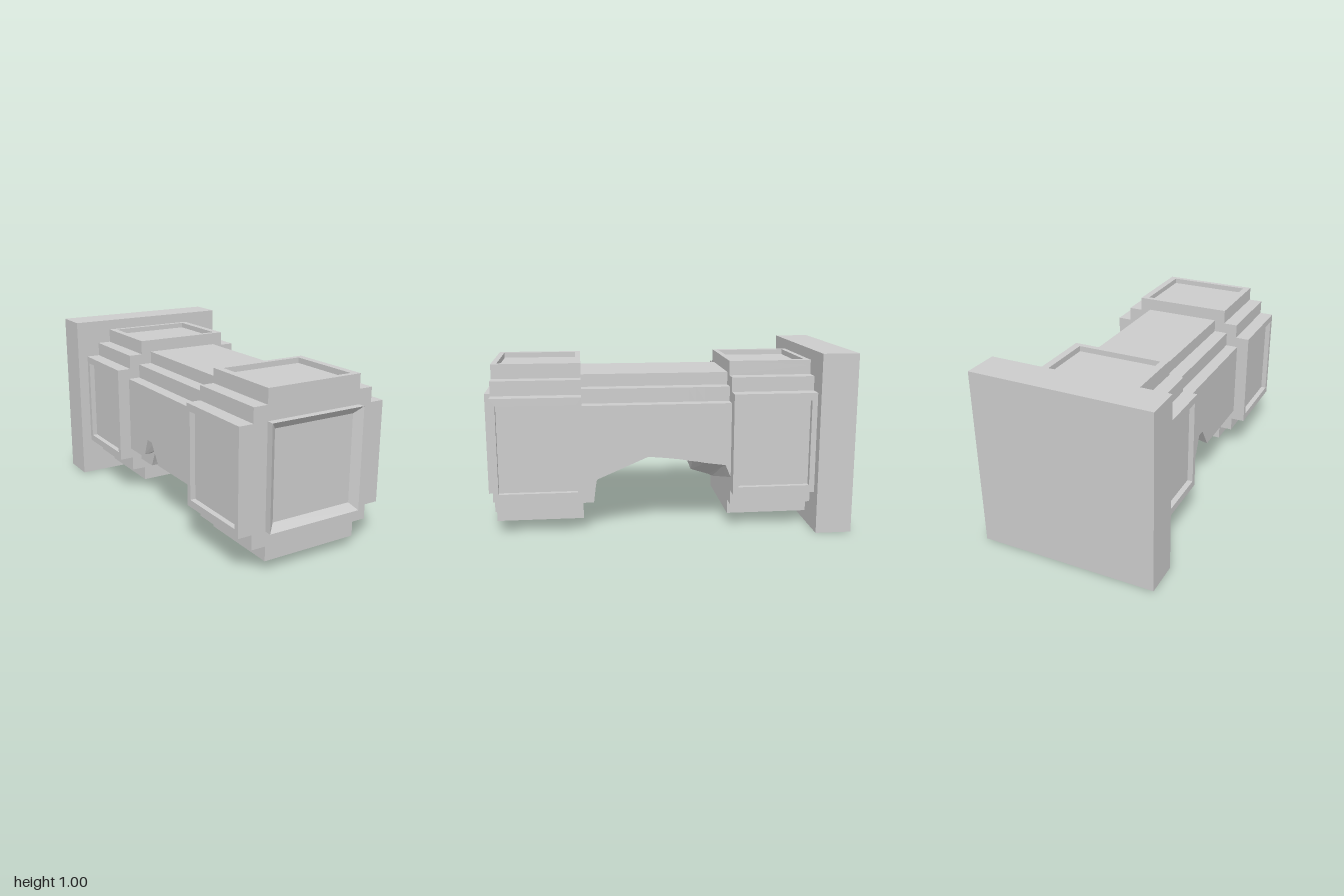
import * as THREE from 'three';

const material = new THREE.MeshStandardMaterial({ color: 0xcccccc, flatShading: true });

function add(parent, name, geometry, x = 0, y = 0, z = 0) {
  const mesh = new THREE.Mesh(geometry, material);
  mesh.name = name;
  mesh.position.set(x, y, z);
  parent.add(mesh);
  return mesh;
}

// Square with two stepped notches at each corner, counter-clockwise
function steppedProfile(a, b, c, tip = c) {
  const quarter = [[tip, -a], [tip, a], [b, a], [b, b], [a, b]];
  const points = [];
  for (let k = 0; k < 4; k++) {
    const cos = [1, 0, -1, 0][k], sin = [0, 1, 0, -1][k];
    for (const [x, y] of quarter) points.push(new THREE.Vector2(x * cos - y * sin, x * sin + y * cos));
  }
  return points;
}

function extrude(shape, depth) {
  return new THREE.ExtrudeGeometry(shape, { depth, bevelEnabled: false });
}

function rectangle(w, h, Type = THREE.Shape) {
  return new Type([[-w, -h], [w, -h], [w, h], [-w, h]].map(p => new THREE.Vector2(...p)));
}

// Stepped block with a framed, sunken panel on each of its four sides
function createBlock(name, z0, z1) {
  const block = new THREE.Group();
  block.name = name;
  const length = z1 - z0;
  add(block, 'blockCore', extrude(new THREE.Shape(steppedProfile(0.28, 0.36, 0.44, 0.41)), length), 0, 0, z0);
  const frame = rectangle(0.28, length / 2);
  frame.holes.push(rectangle(0.24, length / 2 - 0.03, THREE.Path));
  const geometry = extrude(frame, 0.03).rotateX(-Math.PI / 2).translate(0, 0.41, (z0 + z1) / 2);
  for (let k = 0; k < 4; k++) add(block, 'panelFrame', geometry).rotation.z = k * Math.PI / 2;
  return block;
}

// Stepped shaft whose underside is broken away: the section is cut at each
// station by a line running from the left height to the right height
function createShaftGeometry() {
  const profile = steppedProfile(0.22, 0.30, 0.37);
  // z, break height on +x, break height on -x
  const stations = [
    [0.48, 0.10, 0.10], [0.42, 0.10, 0.10], [0.40, 0.31, 0.22], [0.33, 0.34, 0.28],
    [0.12, 0.43, 0.28], [0.02, 0.42, 0.28], [-0.06, 0.41, 0.40], [-0.11, 0.40, 0.40],
    [-0.15, 0.395, 0.30], [-0.20, 0.385, 0.14], [-0.31, 0.37, 0.10], [-0.34, 0.30, 0.10],
  ];
  const rings = stations.map(([z, left, right]) => profile.map(p => {
    const cut = THREE.MathUtils.lerp(right, left, (p.x + 0.37) / 0.74) - 0.5;
    return [p.x, Math.max(p.y, cut), z];
  }));
  const positions = [];
  for (let s = 0; s < rings.length - 1; s++) {
    const a = rings[s], b = rings[s + 1];
    for (let i = 0; i < a.length; i++) {
      const j = (i + 1) % a.length;
      positions.push(...a[i], ...b[i], ...a[j], ...a[j], ...b[i], ...b[j]);
    }
  }
  const geometry = new THREE.BufferGeometry();
  geometry.setAttribute('position', new THREE.Float32BufferAttribute(positions, 3));
  geometry.computeVertexNormals();
  return geometry;
}

export function createModel() {
  const model = new THREE.Group();
  model.name = 'brokenPillar';
  const body = new THREE.Group();
  body.name = 'pillarBody';
  body.position.y = 0.5;
  model.add(body);

  add(body, 'basePlate', new THREE.BoxGeometry(1, 1, 0.2), 0, 0, -0.9);
  body.add(createBlock('lowerBlock', -0.8, -0.34));
  body.add(createBlock('upperBlock', 0.48, 0.96));
  add(body, 'brokenShaft', createShaftGeometry());

  // Raised square rim on the end face, sloping in to a sunken panel
  const r = Math.SQRT2;
  const rim = [[0.28, 0], [0.28, 0.04], [0.24, 0.004], [0, 0.004]].map(([x, y]) => new THREE.Vector2(x * r, y));
  add(body, 'endPanel', new THREE.LatheGeometry(rim, 4, Math.PI / 4).rotateX(Math.PI / 2), 0, 0, 0.96);
  return model;
}
